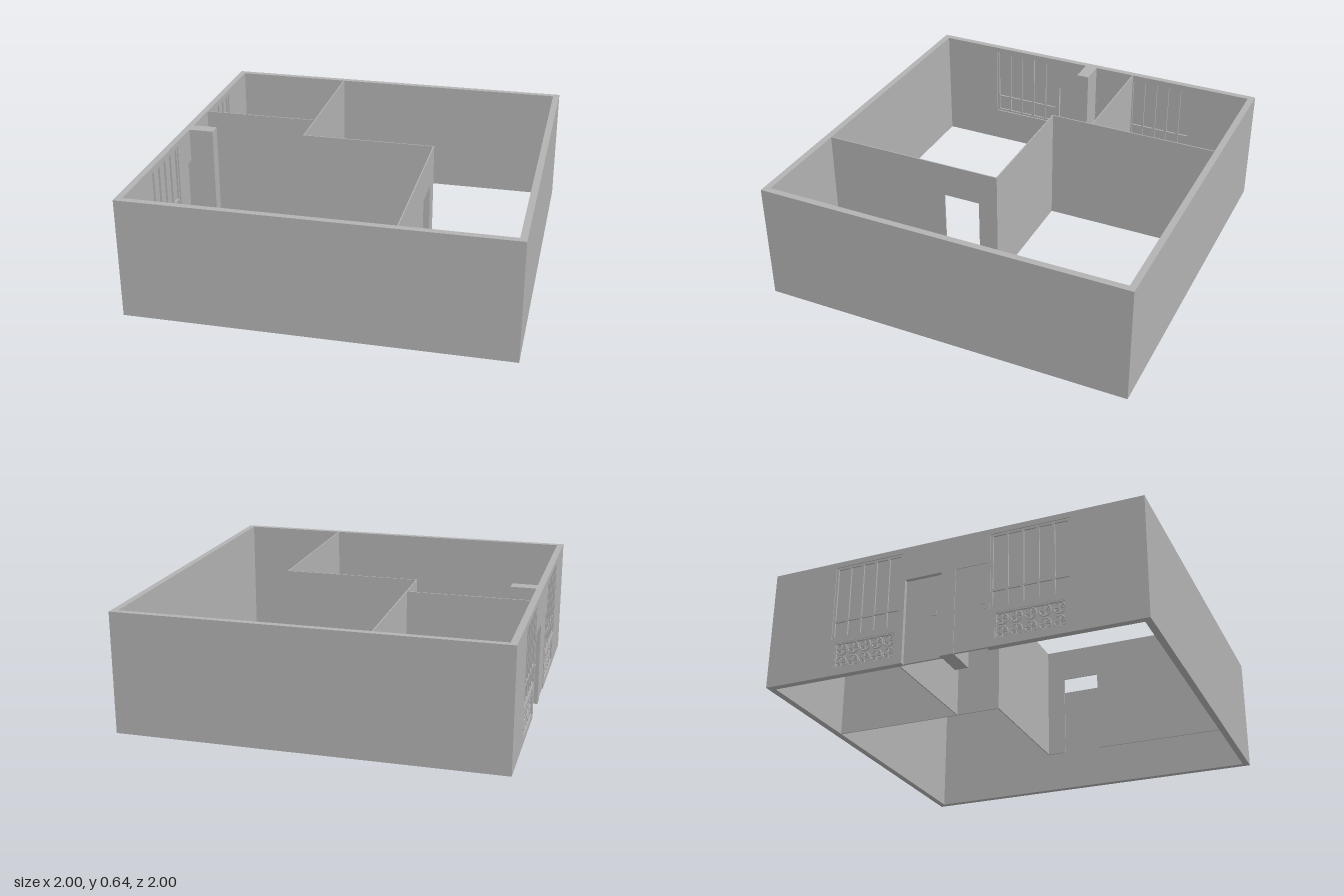
import * as THREE from 'three';

const H = 0.64; // wall height
const T = 0.035; // outer wall thickness

export function createModel() {
  const model = new THREE.Group();
  model.name = 'house';
  const grey = new THREE.MeshStandardMaterial({ color: 0xb2b2b2 });
  grey.name = 'plaster grey';

  function add(name, geometry, parent = model) {
    const mesh = new THREE.Mesh(geometry, grey);
    mesh.name = name;
    parent.add(mesh);
    return mesh;
  }
  // Box given by its limits on each axis
  function box(name, x0, x1, y0, y1, z0, z1, parent) {
    const g = new THREE.BoxGeometry(x1 - x0, y1 - y0, z1 - z0);
    g.translate((x0 + x1) / 2, (y0 + y1) / 2, (z0 + z1) / 2);
    return add(name, g, parent);
  }
  // Wall across x, with floor-level doors [z0, z1, top] and holes [z0, z1, y0, y1]
  function wallAlongZ(name, x0, x1, z0, z1, doors, holes = []) {
    const s = new THREE.Shape();
    s.moveTo(z0, 0);
    for (const [a, b, top] of doors) {
      s.lineTo(a, 0);
      s.lineTo(a, top);
      s.lineTo(b, top);
      s.lineTo(b, 0);
    }
    s.lineTo(z1, 0);
    s.lineTo(z1, H);
    s.lineTo(z0, H);
    s.closePath();
    for (const [a, b, c, d] of holes) {
      const h = new THREE.Path();
      h.moveTo(a, c);
      h.lineTo(a, d);
      h.lineTo(b, d);
      h.lineTo(b, c);
      h.closePath();
      s.holes.push(h);
    }
    const g = new THREE.ExtrudeGeometry(s, { depth: x1 - x0, bevelEnabled: false });
    g.rotateY(-Math.PI / 2);
    g.translate(x1, 0, 0);
    return add(name, g);
  }

  // Outer walls
  box('frontWall', -1, 1, 0, H, 1 - T, 1);
  box('backWall', -1, 1, 0, H, -1, -1 + T);
  box('leftWall', 1 - T, 1, 0, H, -1 + T, 1 - T);

  // Entrance wall with two doors, two windows and two ornamental panels
  const windows = [[-0.64, -0.26], [0.22, 0.63]];
  const panels = windows.map(([a, b]) => [a + 0.025, b - 0.025]);
  const doors = [[-0.24, -0.04, 0.455], [0.035, 0.205, 0.455]];
  const wy = [0.2, 0.61];
  const py = [0.035, 0.175];
  wallAlongZ('entranceWall', -1, -1 + T, -1 + T, 1 - T, doors, [
    ...windows.map(([a, b]) => [a, b, ...wy]),
    ...panels.map(([a, b]) => [a, b, ...py]),
  ]);
  box('entrancePillar', -1 + T, -0.83, 0, H, -0.035, 0.035);

  // Windows: pane, frame, mullions and a low transom
  windows.forEach(([a, b]) => {
    const w = new THREE.Group();
    w.name = 'window';
    model.add(w);
    box('pane', -0.987, -0.982, wy[0], wy[1], a, b, w);
    const n = 5;
    for (let i = 0; i <= n; i++) {
      const z = a + 0.006 + ((b - a - 0.012) * i) / n;
      box('mullion', -0.996, -0.972, wy[0], wy[1], z - 0.006, z + 0.006, w);
    }
    for (const y of [wy[0] + 0.006, 0.3, wy[1] - 0.006])
      box('rail', -0.995, -0.973, y - 0.006, y + 0.006, a, b, w);
  });

  // Ornamental panels: backing plate, border and two rows of rosettes
  panels.forEach(([a, b]) => {
    const p = new THREE.Group();
    p.name = 'ornamentalPanel';
    model.add(p);
    box('backing', -0.988, -1 + T, py[0], py[1], a, b, p);
    for (const y of [py[0], py[1] - 0.007]) box('border', -0.998, -0.987, y, y + 0.007, a, b, p);
    for (const z of [a, b - 0.007]) box('border', -0.998, -0.987, py[0], py[1], z, z + 0.007, p);
    const cols = 5, rows = 2;
    for (let i = 0; i < cols; i++) {
      for (let j = 0; j < rows; j++) {
        const z = a + ((b - a) * (i + 0.5)) / cols;
        const y = py[0] + ((py[1] - py[0]) * (j + 0.5)) / rows;
        const ring = add('rosetteRing', new THREE.TorusGeometry(0.029, 0.004, 6, 20), p);
        ring.position.set(-0.99, y, z);
        ring.rotation.y = Math.PI / 2;
        for (let k = 0; k < 4; k++) {
          const petal = add('rosettePetal', new THREE.BoxGeometry(0.008, 0.054, 0.005), p);
          petal.position.set(-0.99, y, z);
          petal.rotation.x = (k * Math.PI) / 4;
        }
      }
    }
  });

  // Doors: one leaf set near the inner face, the other near the outer face
  const leafX = [-0.972, -0.99];
  const handleZ = [-0.075, 0.192];
  doors.forEach(([a, b, top], i) => {
    const d = new THREE.Group();
    d.name = 'door';
    model.add(d);
    const x = leafX[i];
    box('leaf', x - 0.006, x + 0.006, 0.002, top, a, b, d);
    box('handlePlate', x - 0.008, x + 0.008, 0.21, 0.26, handleZ[i] - 0.005, handleZ[i] + 0.005, d);
    for (const s of [-1, 1]) {
      const stem = add('handleStem', new THREE.CylinderGeometry(0.003, 0.003, 0.012, 8), d);
      stem.rotation.z = Math.PI / 2;
      stem.position.set(x + s * 0.008, 0.236, handleZ[i]);
      const lever = add('handleLever', new THREE.CylinderGeometry(0.0025, 0.0025, 0.024, 8), d);
      lever.rotation.x = Math.PI / 2;
      lever.position.set(x + s * 0.012, 0.236, handleZ[i] - 0.01);
    }
  });

  // Thin inner partitions, one with a doorway
  const t = 0.003;
  box('backRoomPartition', -0.323 - t, -0.323 + t, 0, H, -1 + T, -0.028 + t);
  box('sideRoomPartition', -1 + T, -0.323 - t, 0, H, -0.265 - t, -0.265 + t);
  box('middlePartition', -0.323 + t, 0.4 + t, 0, H, -0.028 - t, -0.028 + t);
  wallAlongZ('doorwayPartition', 0.4 - t, 0.4 + t, -0.028 + t, 1 - T, [[0.075, 0.277, 0.455]]);

  return model;
}
